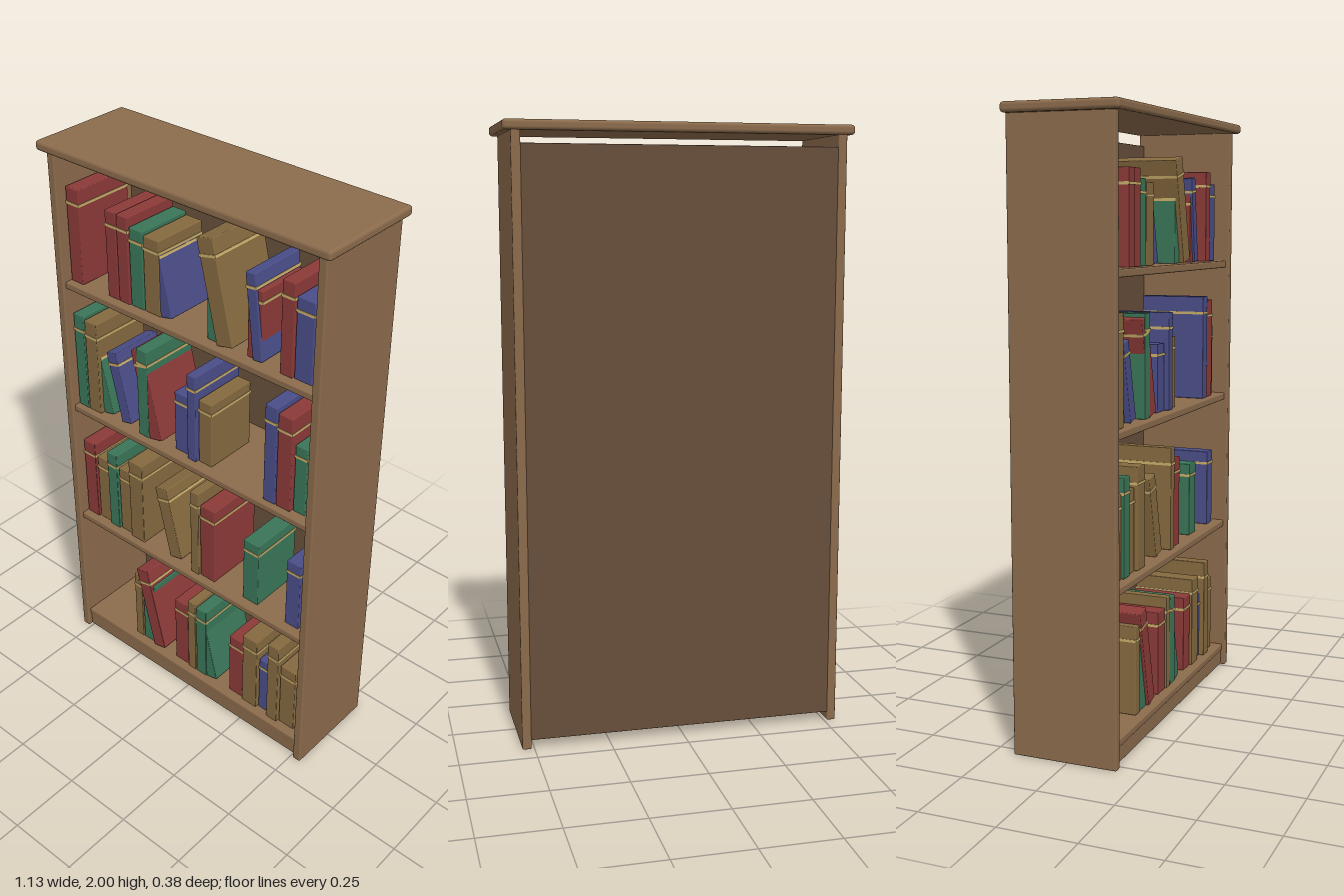
import * as THREE from 'three';
import { RoundedBoxGeometry } from 'three/addons/geometries/RoundedBoxGeometry.js';

const mat = (color) => new THREE.MeshStandardMaterial({ color });
const WOOD = mat(0x8b6b4c), DARK_WOOD = mat(0x674f3b), GOLD = mat(0xc8ad6a);
const RED = mat(0x8b3a38), GREEN = mat(0x3a7558), BLUE = mat(0x4a4d88), TAN = mat(0x84693f);

// Book thicknesses, gap between neighbours and lean angle
const SLIM = 0.036, MID = 0.046, THICK = 0.055, WIDE = 0.064;
const GAP = 0.003, LEAN = 0.235;

// Softly rounded board given by its lower and upper corners
function board(name, [x0, y0, z0], [x1, y1, z1], material = WOOD, radius = 0.005) {
  const geometry = new RoundedBoxGeometry(x1 - x0, y1 - y0, z1 - z0, 2, radius);
  const mesh = new THREE.Mesh(geometry, material);
  mesh.position.set((x0 + x1) / 2, (y0 + y1) / 2, (z0 + z1) / 2);
  mesh.name = name;
  return mesh;
}

// Book standing on its foot, deeper when taller, with a gilt band near the top
function book(color, w, h, lean) {
  const group = new THREE.Group();
  group.name = 'book';
  const d = 0.12 + 0.3 * h;
  const z = 0.022;
  group.add(board('cover', [-w / 2, 0, z - d / 2], [w / 2, h, z + d / 2], color, 0.003));
  const band = new THREE.Mesh(new THREE.BoxGeometry(w + 0.003, 0.009, d + 0.004), GOLD);
  band.position.set(0, h * 0.84, z);
  band.name = 'giltBand';
  group.add(band);
  group.rotation.z = lean;
  return group;
}

// Shelf whose runs of books are packed side by side from a starting x;
// a leaning book rests on one lower edge and tips back over its neighbour
function shelf(y, runs) {
  const group = new THREE.Group();
  group.name = 'shelfWithBooks';
  group.add(board('shelf', [-0.512, y - 0.025, -0.168], [0.512, y, 0.155]));
  for (const [start, ...books] of runs) {
    let x = start;
    for (const [color, w, h, lean = 0] of books) {
      const b = book(color, w, h, lean);
      b.position.set(x + w / 2, y + Math.sin(lean) * w / 2, 0);
      group.add(b);
      x += w + GAP;
    }
  }
  return group;
}

export function createModel() {
  const model = new THREE.Group();
  model.name = 'bookcase';

  // Carcass: overhanging top, two sides, back panel stopping short of the top
  model.add(board('top', [-0.565, 1.968, -0.19], [0.565, 2, 0.19], WOOD, 0.011));
  for (const s of [-1, 1]) {
    const x = s * 0.525;
    model.add(board(s > 0 ? 'leftSide' : 'rightSide', [x - 0.015, 0, -0.182], [x + 0.015, 1.972, 0.167]));
  }
  model.add(board('backPanel', [-0.512, 0.03, -0.179], [0.512, 1.93, -0.164], DARK_WOOD, 0.002));
  model.add(board('kickBoard', [-0.51, 0.003, 0.135], [0.51, 0.062, 0.152]));

  // Bottom shelf
  model.add(shelf(0.08, [
    [-0.283, [TAN, SLIM, 0.295], [GREEN, THICK, 0.275], [RED, THICK, 0.34, LEAN]],
    [-0.082, [RED, WIDE, 0.285], [TAN, SLIM, 0.32], [GREEN, MID, 0.31], [GREEN, MID, 0.29, LEAN]],
    [0.176, [RED, WIDE, 0.265], [TAN, WIDE, 0.315], [BLUE, MID, 0.235], [TAN, MID, 0.35], [TAN, WIDE, 0.27]],
  ]));

  // Second shelf
  model.add(shelf(0.56, [
    [-0.505, [RED, THICK, 0.32], [TAN, THICK, 0.27], [GREEN, MID, 0.32], [TAN, THICK, 0.27], [TAN, WIDE, 0.335]],
    [-0.1, [TAN, THICK, 0.28, LEAN]],
    [0.008, [TAN, SLIM, 0.35], [RED, WIDE, 0.305]],
    [0.232, [GREEN, WIDE, 0.255]],
    [0.416, [BLUE, THICK, 0.27]],
  ]));

  // Third shelf
  model.add(shelf(1.037, [
    [-0.505, [GREEN, MID, 0.36], [TAN, THICK, 0.35], [GREEN, MID, 0.25, LEAN]],
    [-0.313, [BLUE, MID, 0.26, LEAN]],
    [-0.222, [GREEN, MID, 0.335], [RED, THICK, 0.325, LEAN]],
    [-0.071, [BLUE, WIDE, 0.225], [BLUE, SLIM, 0.325], [TAN, THICK, 0.24]],
    [0.32, [BLUE, MID, 0.36], [RED, THICK, 0.345], [GREEN, MID, 0.25]],
  ]));

  // Top shelf
  model.add(shelf(1.518, [
    [-0.505, [RED, THICK, 0.33]],
    [-0.34, [RED, MID, 0.3], [RED, MID, 0.3], [GREEN, THICK, 0.27], [TAN, WIDE, 0.26], [BLUE, MID, 0.24, LEAN]],
    [0.075, [GREEN, MID, 0.25], [TAN, WIDE, 0.345, LEAN]],
    [0.231, [RED, THICK, 0.235]],
    [0.258, [BLUE, SLIM, 0.285, LEAN / 2]],
    [0.363, [RED, MID, 0.31], [BLUE, WIDE, 0.27]],
  ]));
  return model;
}
